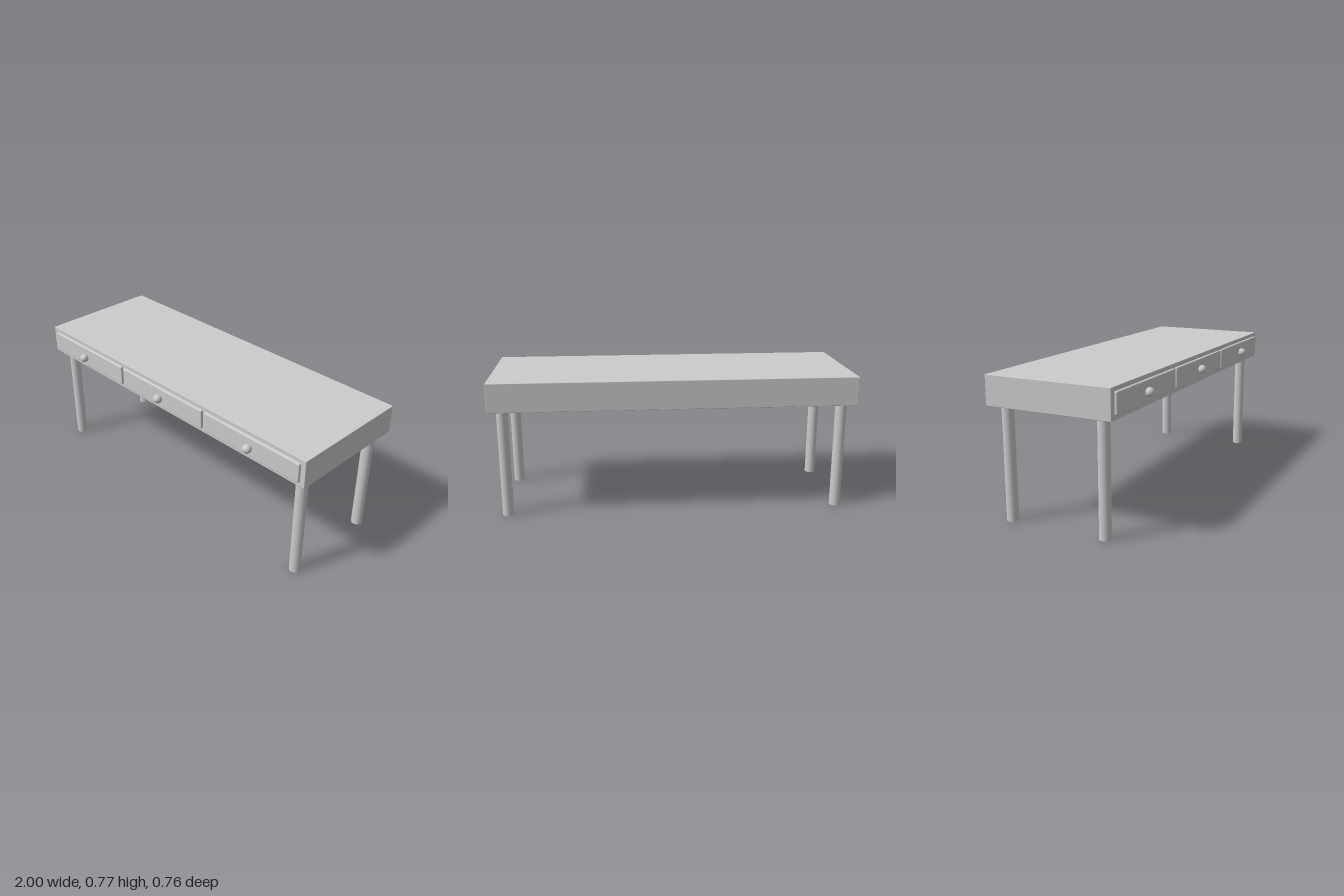
import * as THREE from 'three';
import { RoundedBoxGeometry } from 'three/addons/geometries/RoundedBoxGeometry.js';

export function createModel() {
  const desk = new THREE.Group();
  desk.name = 'desk';
  const material = new THREE.MeshStandardMaterial({ color: 0xcccccc });

  function add(name, geometry, x, y, z) {
    const mesh = new THREE.Mesh(geometry, material);
    mesh.name = name;
    mesh.position.set(x, y, z);
    desk.add(mesh);
  }

  // Thick desktop body with barely softened edges
  add('body', new RoundedBoxGeometry(2, 0.159, 0.703, 2, 0.003), 0, 0.6865, -0.026);

  // Four round legs
  const legHeight = 0.61;
  const legGeometry = new THREE.CylinderGeometry(0.031, 0.031, legHeight, 32);
  for (const [side, x] of [['Left', 0.93], ['Right', -0.93]]) {
    add('front' + side + 'Leg', legGeometry, x, legHeight / 2, 0.247);
    add('back' + side + 'Leg', legGeometry, x, legHeight / 2, -0.299);
  }

  // Three drawer fronts, each with a ball knob
  const drawerGeometry = new RoundedBoxGeometry(0.636, 0.112, 0.034, 3, 0.007);
  const knobGeometry = new THREE.SphereGeometry(0.0245, 32, 20);
  ['right', 'middle', 'left'].forEach((side, i) => {
    add(side + 'DrawerFront', drawerGeometry, (i - 1) * 0.652 + 0.002, 0.687, 0.323);
    add(side + 'Knob', knobGeometry, (i - 1) * 0.662 - 0.004, 0.683, 0.354);
  });

  return desk;
}
